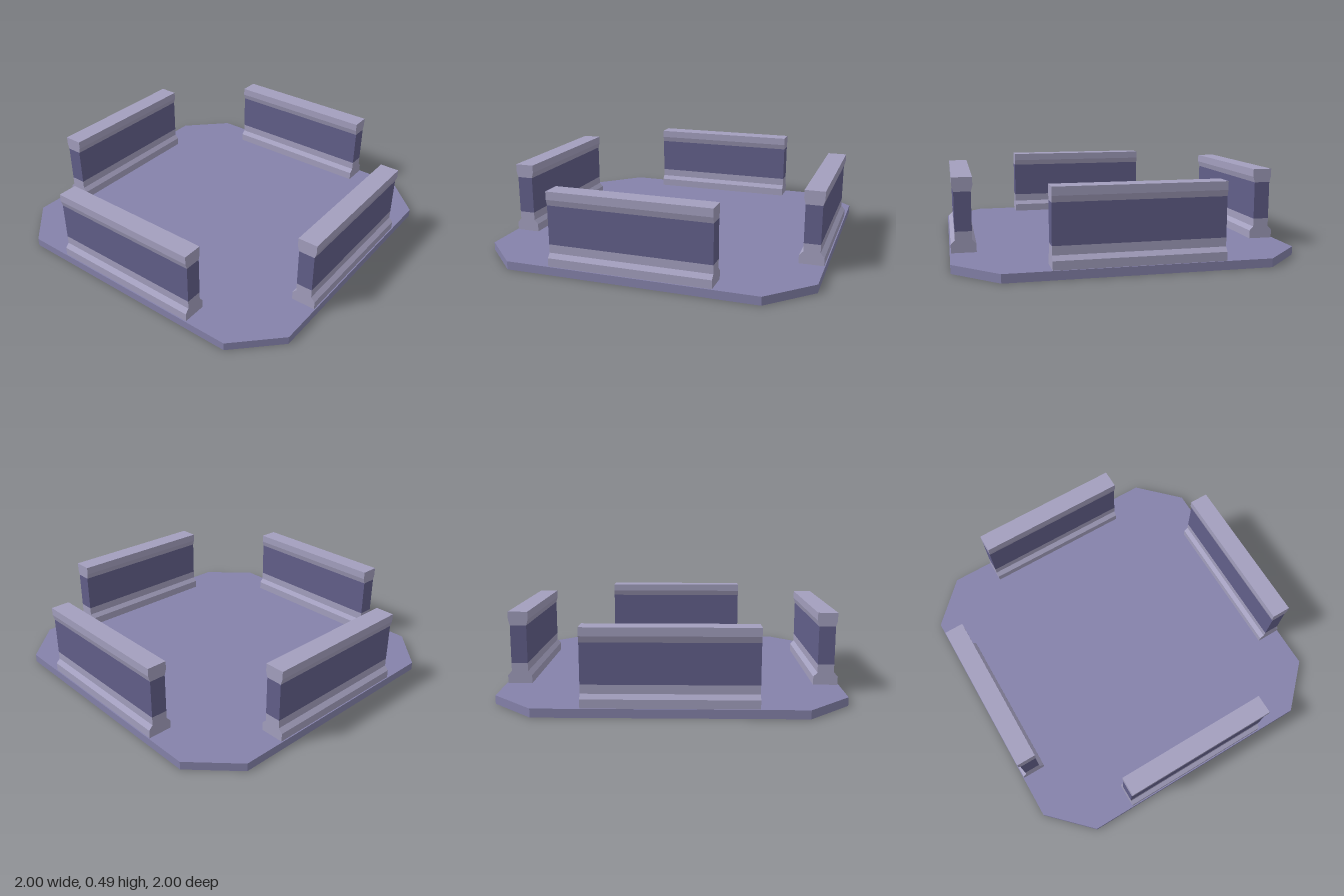
import * as THREE from 'three';

const paint = (color) => new THREE.MeshStandardMaterial({ color, flatShading: true });

// Extrudes a closed outline along z, centred on z = 0
function extrude(name, points, depth, material) {
  const shape = new THREE.Shape(points.map(([x, y]) => new THREE.Vector2(x, y)));
  const geometry = new THREE.ExtrudeGeometry(shape, { depth, bevelEnabled: false });
  geometry.translate(0, 0, -depth / 2);
  const mesh = new THREE.Mesh(geometry, material);
  mesh.name = name;
  return mesh;
}

// Symmetric outline from [half width, height] pairs, bottom to top
const mirrored = (half) => [
  ...half,
  ...half.slice().reverse().map(([x, y]) => [-x, y]),
];

export function createModel() {
  const model = new THREE.Group();
  model.name = 'walledPlatform';
  const floorPaint = paint(0x8582aa);
  const trimPaint = paint(0xa39fbe);
  const panelPaint = paint(0x625f8a);

  // Floor slab: square with cut corners
  const slab = 0.05, c = 0.75;
  const floor = extrude('floor', [
    [c, -1], [1, -c], [1, c], [c, 1], [-c, 1], [-1, c], [-1, -c], [-c, -1],
  ], slab, floorPaint);
  floor.rotation.x = -Math.PI / 2;
  floor.position.y = slab / 2;
  model.add(floor);

  // One low wall per side: footing, panel and coping
  const length = 0.967;
  const names = ['leftWall', 'backWall', 'rightWall', 'frontWall'];
  names.forEach((name, i) => {
    const wall = new THREE.Group();
    wall.name = name;
    wall.add(
      extrude('footing', mirrored([
        [0.073, 0.001], [0.073, 0.1], [0.049, 0.125], [0.049, 0.175],
      ]), length, trimPaint),
      extrude('panel', mirrored([[0.049, 0.175], [0.049, 0.405]]), length, panelPaint),
      extrude('coping', mirrored([
        [0.049, 0.405], [0.059, 0.44], [0.059, 0.488],
      ]), length, trimPaint),
    );
    const angle = (i * Math.PI) / 2;
    wall.rotation.y = angle;
    wall.position.set(Math.cos(angle) * 0.92, 0, -Math.sin(angle) * 0.92);
    model.add(wall);
  });

  return model;
}
